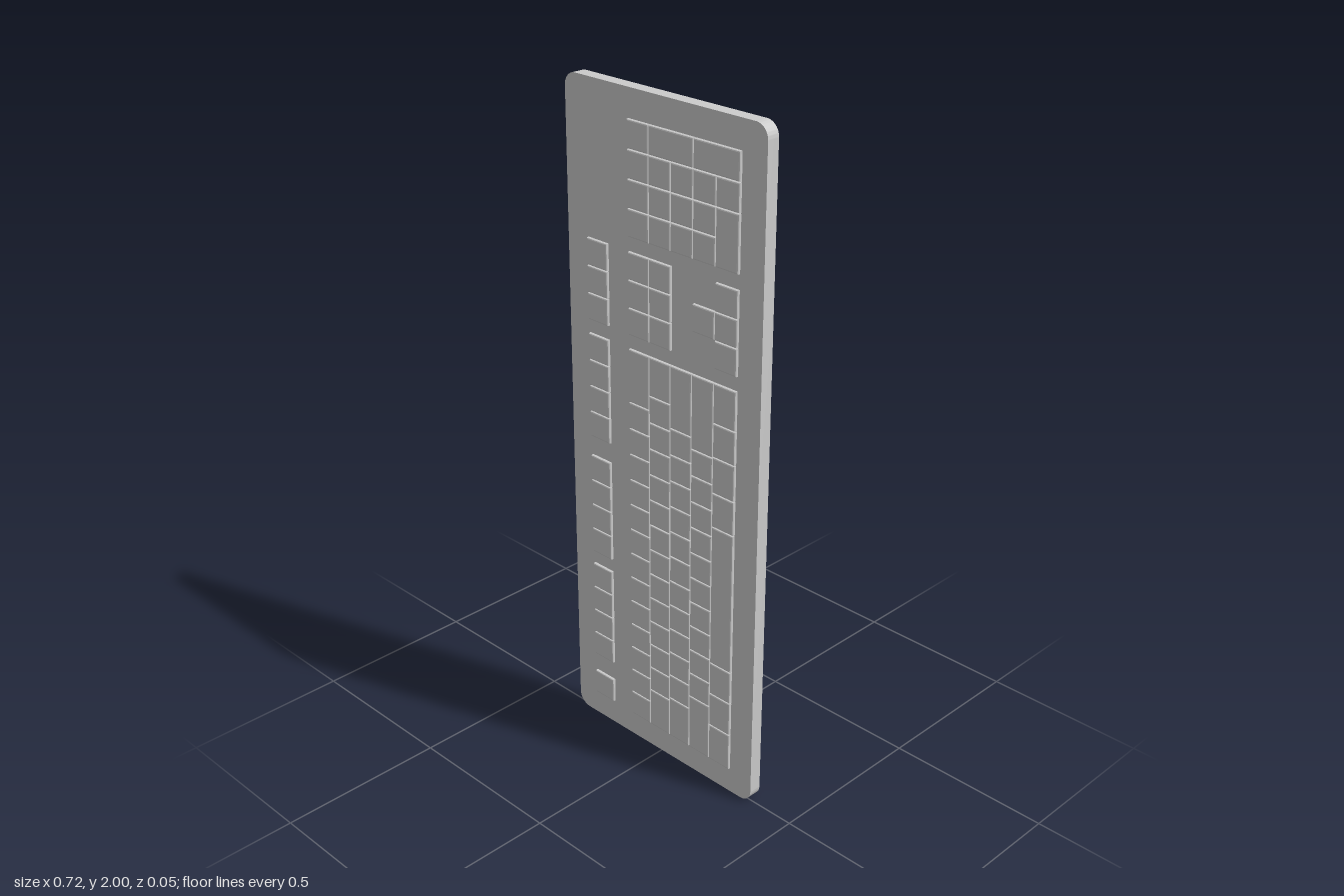
import * as THREE from 'three';
import { toCreasedNormals } from 'three/addons/utils/BufferGeometryUtils.js';

const U = 0.08; // one key unit
const FRONT = 0.012; // front face of the case
const grey = new THREE.MeshStandardMaterial({ color: 0xcccccc });

// Case: rounded slab standing on its short end
function makeCase() {
  const w = 0.36, h = 2, r = 0.04;
  const s = new THREE.Shape();
  s.moveTo(-w + r, 0);
  s.lineTo(w - r, 0);
  s.absarc(w - r, r, r, -Math.PI / 2, 0);
  s.lineTo(w, h - r);
  s.absarc(w - r, h - r, r, 0, Math.PI / 2);
  s.lineTo(-w + r, h);
  s.absarc(-w + r, h - r, r, Math.PI / 2, Math.PI);
  s.lineTo(-w, r);
  s.absarc(-w + r, r, r, Math.PI, Math.PI * 1.5);
  const geo = new THREE.ExtrudeGeometry(s, { depth: 0.039, bevelEnabled: false, curveSegments: 10 });
  geo.translate(0, 0, FRONT - 0.039);
  const mesh = new THREE.Mesh(toCreasedNormals(geo, 0.6), grey);
  mesh.name = 'case';
  return mesh;
}

// Key cap: block with a bevelled rim, its back sunk into the case
function makeKey(x0, x1, y0, y1) {
  const bevel = 0.004, gap = 0.001, inset = bevel + gap;
  const w = (x1 - x0) / 2 - inset, h = (y1 - y0) / 2 - inset;
  const s = new THREE.Shape([
    new THREE.Vector2(-w, -h), new THREE.Vector2(w, -h),
    new THREE.Vector2(w, h), new THREE.Vector2(-w, h),
  ]);
  const geo = new THREE.ExtrudeGeometry(s, {
    depth: 0.007, bevelEnabled: true, bevelThickness: bevel, bevelSize: bevel, bevelSegments: 2,
  });
  const mesh = new THREE.Mesh(geo, grey);
  mesh.position.set((x0 + x1) / 2, (y0 + y1) / 2, FRONT + 0.009 - 0.007 - bevel);
  mesh.name = 'key';
  return mesh;
}

// A run of keys along y; widths are in key units
function addRun(group, x, y, widths) {
  for (const n of widths) {
    group.add(makeKey(x, x + U, y, y + n * U));
    y += n * U;
  }
}

const ones = (n) => Array(n).fill(1);

function keyGroup(parent, name) {
  const g = new THREE.Group();
  g.name = name;
  parent.add(g);
  return g;
}

export function createModel() {
  const model = new THREE.Group();
  model.name = 'keyboard';
  model.add(makeCase());

  const rowX = [-0.12, -0.04, 0.04, 0.12, 0.2];

  // Function keys in separate blocks
  const fn = keyGroup(model, 'functionKeys');
  for (const [y, n] of [[0.08, 1], [0.22, 4], [0.58, 4], [0.96, 4], [1.32, 3]]) {
    addRun(fn, -0.28, y, ones(n));
  }

  // Main block, each row 15 units long
  const main = keyGroup(model, 'mainKeys');
  const rows = [
    [...ones(13), 2],
    [1.55, ...ones(12), 1.45],
    [1.68, ...ones(11), 2.32],
    [2.25, ...ones(10), 2.75],
    [1.5, 1.35, 1.3, 5.5, 1.3, 1.35, 1.25, 1.45],
  ];
  rows.forEach((widths, i) => addRun(main, rowX[i], 0.08, widths));

  // Navigation block
  const nav = keyGroup(model, 'navigationKeys');
  addRun(nav, rowX[0], 1.32, ones(3));
  addRun(nav, rowX[1], 1.32, ones(3));

  // Arrow keys
  const arrows = keyGroup(model, 'arrowKeys');
  addRun(arrows, rowX[3], 1.4, [1]);
  addRun(arrows, rowX[4], 1.32, ones(3));

  // Number pad with two double-height keys and one double-width key
  const pad = keyGroup(model, 'numberPad');
  addRun(pad, rowX[0], 1.6, ones(4));
  for (const x of rowX.slice(1, 4)) addRun(pad, x, 1.6, ones(3));
  addRun(pad, rowX[4], 1.6, [2, 1]);
  pad.add(makeKey(-0.04, 0.12, 1.84, 1.92));
  pad.add(makeKey(0.12, 0.28, 1.84, 1.92));

  return model;
}
